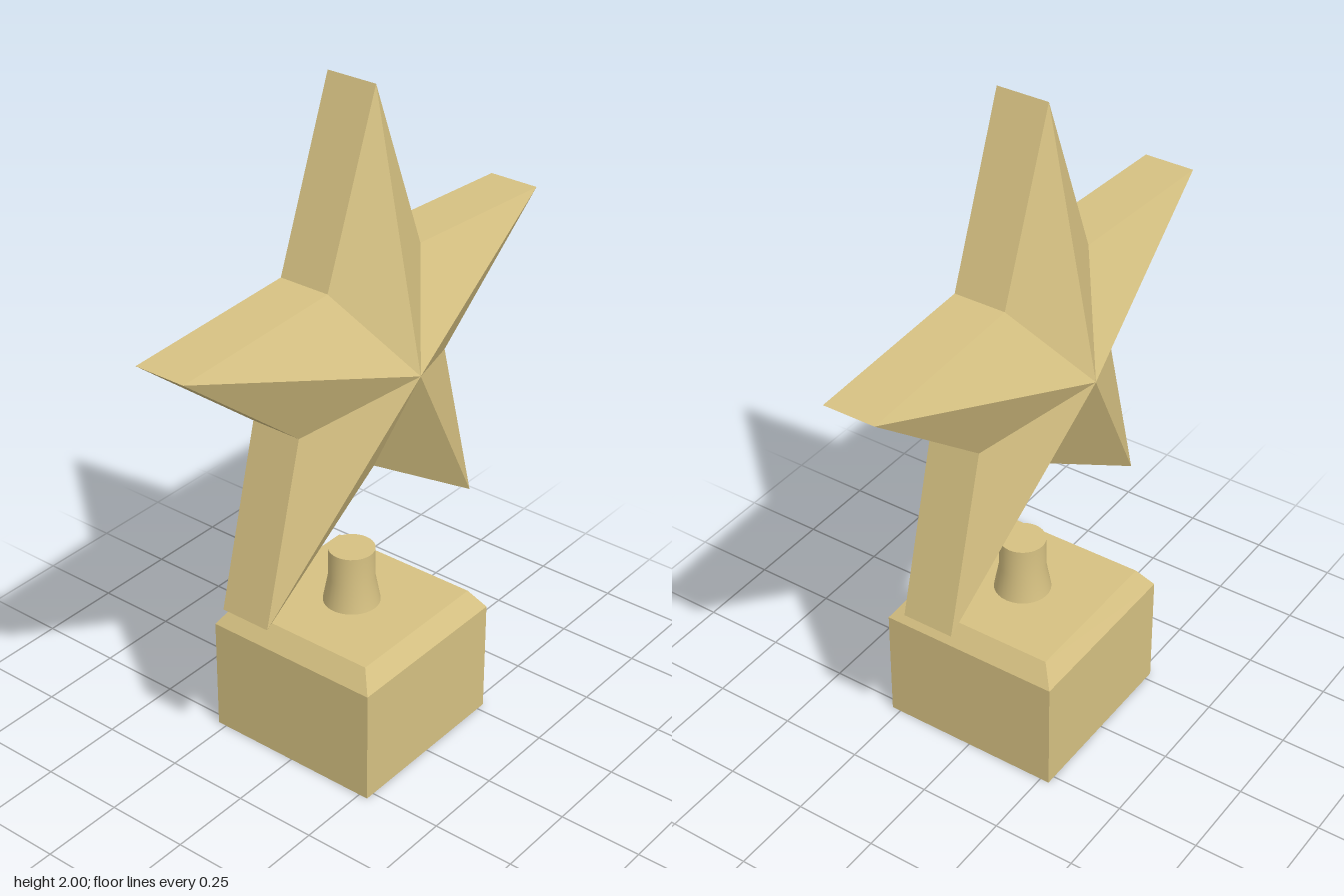
import * as THREE from 'three';
import { toCreasedNormals } from 'three/addons/utils/BufferGeometryUtils.js';

const CENTER_Y = 1.22, OUTER = 0.78, INNER = 0.333, EDGE_Z = 0.078, APEX_Z = 0.233;

// Five-pointed star: a ridge-to-apex face front and back, joined by a flat rim
function starGeometry() {
  const outline = [];
  for (let i = 0; i < 10; i++) {
    const a = Math.PI / 2 + (i * Math.PI) / 5; // counterclockwise from the top tip
    const r = i % 2 ? INNER : OUTER;
    outline.push([r * Math.cos(a), r * Math.sin(a)]);
  }
  const positions = [];
  const tri = (...corners) => corners.forEach((c) => positions.push(...c));
  for (let i = 0; i < 10; i++) {
    const p = outline[i], q = outline[(i + 1) % 10];
    const pf = [...p, EDGE_Z], qf = [...q, EDGE_Z];
    const pb = [...p, -EDGE_Z], qb = [...q, -EDGE_Z];
    tri([0, 0, APEX_Z], pf, qf);
    tri([0, 0, -APEX_Z], qb, pb);
    tri(pf, pb, qb);
    tri(pf, qb, qf);
  }
  const geometry = new THREE.BufferGeometry();
  geometry.setAttribute('position', new THREE.Float32BufferAttribute(positions, 3));
  geometry.computeVertexNormals();
  return geometry;
}

// Closed turned solid from [radius, y] points, listed bottom to top
function turned(profile, sides, start, crease) {
  const points = profile.map(([r, y]) => new THREE.Vector2(r, y));
  return toCreasedNormals(new THREE.LatheGeometry(points, sides, start), crease);
}

export function createModel() {
  const group = new THREE.Group();
  const gold = new THREE.MeshStandardMaterial({ color: 0xd6c182 });
  gold.name = 'pale gold';

  const add = (name, geometry) => {
    const mesh = new THREE.Mesh(geometry, gold);
    mesh.name = name;
    group.add(mesh);
    return mesh;
  };

  add('star', starGeometry()).position.y = CENTER_Y;

  // Square plinth with a chamfered top; half widths become corner radii
  const d = Math.SQRT2;
  add('plinth', turned(
    [[0, 0], [0.278 * d, 0], [0.278 * d, 0.353], [0.238 * d, 0.413], [0, 0.413]],
    4, Math.PI / 4, 0.1));

  // Round neck with a flared foot
  add('neck', turned(
    [[0, 0.41], [0.084, 0.41], [0.068, 0.495], [0.068, 0.588], [0, 0.588]],
    32, 0, 0.5));

  return group;
}
